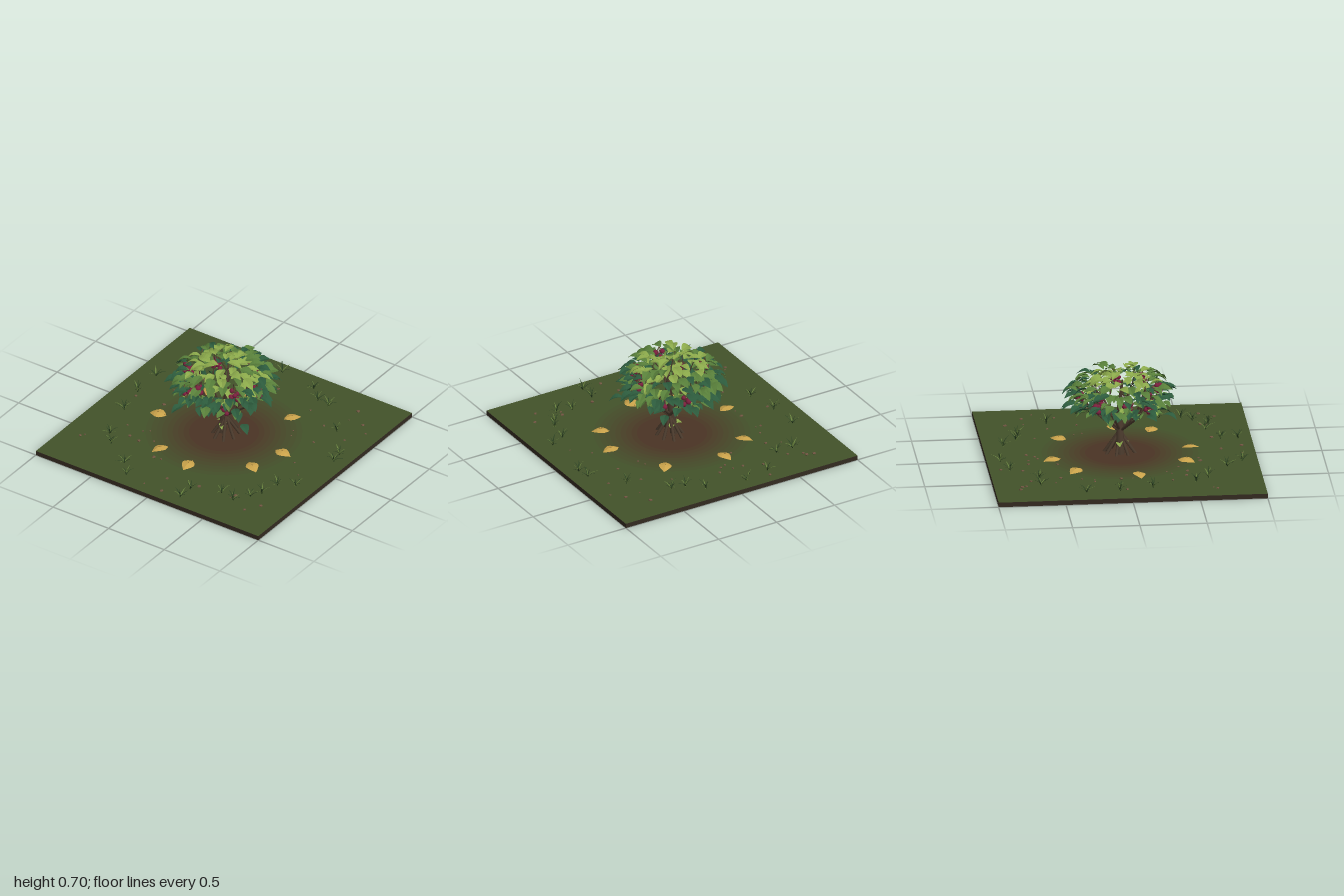
import * as THREE from 'three';
import { mergeGeometries } from 'three/addons/utils/BufferGeometryUtils.js';

const UP = new THREE.Vector3(0, 1, 0);
const GROUND = 0.035;

// Small seeded generator
let seed = 7;
const rand = () => {
  seed = (seed * 16807) % 2147483647;
  return seed / 2147483647;
};
const range = (a, b) => a + (b - a) * rand();
const vec = (x, y, z) => new THREE.Vector3(x, y, z);

function addMesh(parent, name, geometry, color, options = {}) {
  const material = new THREE.MeshStandardMaterial({ color, ...options });
  const mesh = new THREE.Mesh(geometry, material);
  mesh.name = name;
  parent.add(mesh);
  return mesh;
}

// Leaf or blade along +z: three columns per row, folded at the midrib and arched
function bladeGeometry(length, width, profile, fold, arch) {
  const positions = [], index = [], rows = profile.length - 1;
  profile.forEach((p, i) => {
    const t = i / rows, y = arch * (Math.sin(Math.PI * t) - 0.4 * t);
    for (const side of [-1, 0, 1]) {
      positions.push(side * p * width / 2, y + Math.abs(side) * p * fold, t * length);
    }
    if (i === rows) return;
    for (let c = 0; c < 2; c++) {
      const a = i * 3 + c, b = a + 3;
      index.push(a, b, a + 1, a + 1, b, b + 1);
    }
  });
  const g = new THREE.BufferGeometry();
  g.setAttribute('position', new THREE.Float32BufferAttribute(positions, 3));
  g.setIndex(index);
  g.computeVertexNormals();
  return g;
}

// Copy a geometry to a place with yaw, pitch and roll
const dummy = new THREE.Object3D();
dummy.rotation.order = 'YXZ';
function placed(geometry, position, yaw, pitch = 0, roll = 0, scale = 1) {
  dummy.position.copy(position);
  dummy.rotation.set(pitch, yaw, roll);
  dummy.scale.setScalar(scale);
  dummy.updateMatrix();
  return geometry.clone().applyMatrix4(dummy.matrix);
}

// Tapered round limb between two points
function limb(a, b, r0, r1, sides = 7) {
  const d = b.clone().sub(a);
  const g = new THREE.CylinderGeometry(r1, r0, d.length(), sides);
  g.applyQuaternion(new THREE.Quaternion().setFromUnitVectors(UP, d.normalize()));
  const m = a.clone().add(b).multiplyScalar(0.5);
  return g.translate(m.x, m.y, m.z);
}

const LEAF = [0.05, 0.62, 0.96, 1, 0.8, 0.45, 0];

function buildGround(root) {
  const ground = new THREE.Group();
  ground.name = 'ground';
  root.add(ground);
  addMesh(ground, 'earthSlab', new THREE.BoxGeometry(2, GROUND, 2).translate(0, GROUND / 2, 0), 0x332a20);
  addMesh(ground, 'grassTop', new THREE.PlaneGeometry(2, 2).rotateX(-Math.PI / 2).translate(0, GROUND + 0.0005, 0), 0x42522a);
  // Soil patch fading into the grass
  const soil = new THREE.Color(0x4a3324), grass = new THREE.Color(0x42522a), steps = 9;
  for (let i = 0; i < steps; i++) {
    const inner = i ? 0.26 + (i - 1) * 0.04 : 0;
    const ring = new THREE.RingGeometry(inner, 0.26 + i * 0.04, 48).rotateX(-Math.PI / 2);
    addMesh(ground, 'soilRing', ring.translate(0, GROUND + 0.0015, 0), soil.clone().lerp(grass, i / steps));
  }
  // Pebbles
  const pebbles = [];
  for (let i = 0; i < 60; i++) {
    const r = range(0.5, 1.1), a = range(0, 6.28);
    const x = r * Math.cos(a), z = r * Math.sin(a);
    if (Math.max(Math.abs(x), Math.abs(z)) > 0.95) continue;
    const stone = new THREE.DodecahedronGeometry(range(0.005, 0.014)).scale(1.2, 0.6, 1);
    pebbles.push(placed(stone, vec(x, GROUND + 0.004, z), a));
  }
  addMesh(ground, 'pebbles', mergeGeometries(pebbles), 0x6e5540, { flatShading: true });
}

function buildGrass(root) {
  const tufts = [
    [-0.31, -0.85], [-0.1, -0.9], [0.22, -0.85], [0.33, -0.74], [0.44, -0.72], [-0.65, -0.65], [-0.51, -0.65],
    [0.68, -0.48], [0.87, -0.24], [0.89, -0.14], [-0.84, -0.33], [-0.83, -0.08], [-0.78, 0.17], [-0.68, 0.5],
    [-0.6, 0.6], [-0.37, 0.76], [-0.27, 0.88], [0.23, 0.77], [0.23, 0.9], [0.45, 0.68], [0.57, 0.71],
    [0.65, 0.6], [0.7, 0.52], [0.73, 0.36], [0.85, 0.3],
  ];
  const blade = bladeGeometry(0.09, 0.011, [1, 0.9, 0.65, 0], 0.002, 0.012);
  const shades = [[], []];
  for (const [x, z] of tufts) {
    const turn = range(0, 6);
    for (let i = 0; i < 8; i++) {
      const pitch = -range(0.55, 1.25);
      shades[i % 3 ? 0 : 1].push(placed(blade, vec(x, GROUND, z), turn + i * 0.785 + range(-0.3, 0.3), pitch, 0, range(0.7, 1.05)));
    }
  }
  [0x2c4222, 0x66803c].forEach((color, i) =>
    addMesh(root, 'grassTufts', mergeGeometries(shades[i]), color, { side: THREE.DoubleSide }));
}

function buildFallenLeaves(root) {
  const spots = [[-0.14, -0.52], [-0.4, -0.37], [0.32, -0.43], [0.53, 0], [0.45, 0.28], [0.04, 0.53], [-0.25, 0.47], [-0.53, 0.09]];
  const leaf = bladeGeometry(0.135, 0.095, LEAF, -0.012, 0.022).translate(0, 0.015, -0.0675);
  const rib = limb(vec(0, 0.017, -0.065), vec(0, 0.036, 0.01), 0.002, 0.0015, 5);
  const leaves = [], ribs = [];
  for (const [x, z] of spots) {
    const args = [vec(x, GROUND, z), Math.atan2(x, z), 0, range(-0.12, 0.12)];
    leaves.push(placed(leaf, ...args));
    ribs.push(placed(rib, ...args));
  }
  addMesh(root, 'fallenLeaves', mergeGeometries(leaves), 0xc9a24a, { side: THREE.DoubleSide, flatShading: true });
  addMesh(root, 'fallenLeafStalks', mergeGeometries(ribs), 0x8a6a30);
}

function buildBush(root) {
  const bush = new THREE.Group();
  bush.name = 'bush';
  root.add(bush);

  // Trunk and the stems that cross it, each with forked twigs
  const wood = [limb(vec(-0.02, 0.03, 0), vec(0.03, 0.42, 0), 0.032, 0.02, 9), limb(vec(0.03, 0.41, 0), vec(0.02, 0.6, 0.02), 0.018, 0.006)];
  for (let i = 0; i < 8; i++) {
    const a = 0.3 + i * Math.PI / 4, c = Math.cos(a), s = Math.sin(a);
    const knot = vec(0.02 + c * 0.015, 0.21 + (i % 3) * 0.01, s * 0.015);
    const tip = vec(c * 0.27, 0.4 + (i % 3) * 0.035, s * 0.27);
    wood.push(limb(vec(0.02 - c * 0.1, 0.03, -s * 0.12), knot, 0.012, 0.011), limb(knot, tip, 0.012, 0.006));
    for (const [da, r, y] of [[-0.3, 0.3, 0.53], [0.35, 0.22, 0.6], [0.1, 0.34, 0.45]]) {
      const start = knot.clone().lerp(tip, r > 0.25 ? 0.8 : 0.55);
      wood.push(limb(start, vec(Math.cos(a + da) * r, y, Math.sin(a + da) * r), 0.006, 0.003, 5));
    }
  }
  addMesh(bush, 'stems', mergeGeometries(wood), 0x4a3a2c);

  // Leaves spread through a flattened dome, paler toward the top
  const leaf = bladeGeometry(0.11, 0.068, LEAF, 0.012, 0.016);
  const shades = [[], [], []], count = 230;
  for (let i = 0; i < count; i++) {
    const h = 1 - 1.7 * (i + 0.5) / count, a = i * 2.39996;
    const depth = [1, 0.85, 0.95, 0.68][i % 4], r = Math.sqrt(1 - h * h) * depth * 0.33;
    const p = vec(Math.cos(a) * r, 0.5 + h * depth * 0.18 + range(-0.02, 0.02), Math.sin(a) * r);
    const yaw = Math.atan2(p.x, p.z) + range(-0.7, 0.7);
    const tone = r / 0.33 + range(-0.35, 0.35) - h * 0.2;
    const shade = tone < 0.5 ? 0 : tone < 0.82 ? 1 : 2;
    shades[shade].push(placed(leaf, p, yaw, range(-0.1, 0.45), range(-0.35, 0.35), range(0.85, 1.1)));
  }
  // Stray drooping leaves and a low sprout
  for (const [x, y, z] of [[0.3, 0.33, 0.2], [-0.15, 0.38, 0.31], [0.03, 0.42, -0.33], [-0.07, 0.45, -0.34], [0.2, 0.36, -0.24]]) {
    shades[2].push(placed(leaf, vec(x, y, z), Math.atan2(x, z), 0.25));
  }
  for (const yaw of [0.4, 2.6, 4.6]) shades[0].push(placed(leaf, vec(0, 0.12, 0), yaw, 0.1, 0.2, 0.75));
  [0x8aa84a, 0x587f3a, 0x2c5a3c].forEach((color, i) =>
    addMesh(bush, 'leaves', mergeGeometries(shades[i]), color, { side: THREE.DoubleSide, flatShading: true }));

  // Hanging berry clusters
  const berries = [], stalks = [];
  const clusters = [
    [-0.18, 0.43, 0.2], [0.15, 0.41, 0.22], [-0.05, 0.55, 0.27], [0.22, 0.54, 0.18], [0.3, 0.5, 0],
    [0.16, 0.38, -0.14], [-0.2, 0.45, -0.2], [-0.3, 0.5, 0.03], [0.05, 0.47, -0.3],
  ];
  for (const [x, y, z] of clusters) {
    for (let i = 0; i < 5; i++) {
      const a = i * 2.4, p = vec(x + Math.cos(a) * 0.026, y - 0.025 + i * 0.014, z + Math.sin(a) * 0.026);
      berries.push(placed(new THREE.SphereGeometry(range(0.017, 0.023), 12, 9), p, 0));
      stalks.push(limb(p, vec(x, y + 0.075, z), 0.002, 0.002, 5));
    }
  }
  addMesh(bush, 'berries', mergeGeometries(berries), 0x7a1f3d);
  addMesh(bush, 'berryStalks', mergeGeometries(stalks), 0x5a4a2c);
}

export function createModel() {
  seed = 7;
  const root = new THREE.Group();
  root.name = 'berryBushOnGround';
  buildGround(root);
  buildGrass(root);
  buildFallenLeaves(root);
  buildBush(root);
  return root;
}
